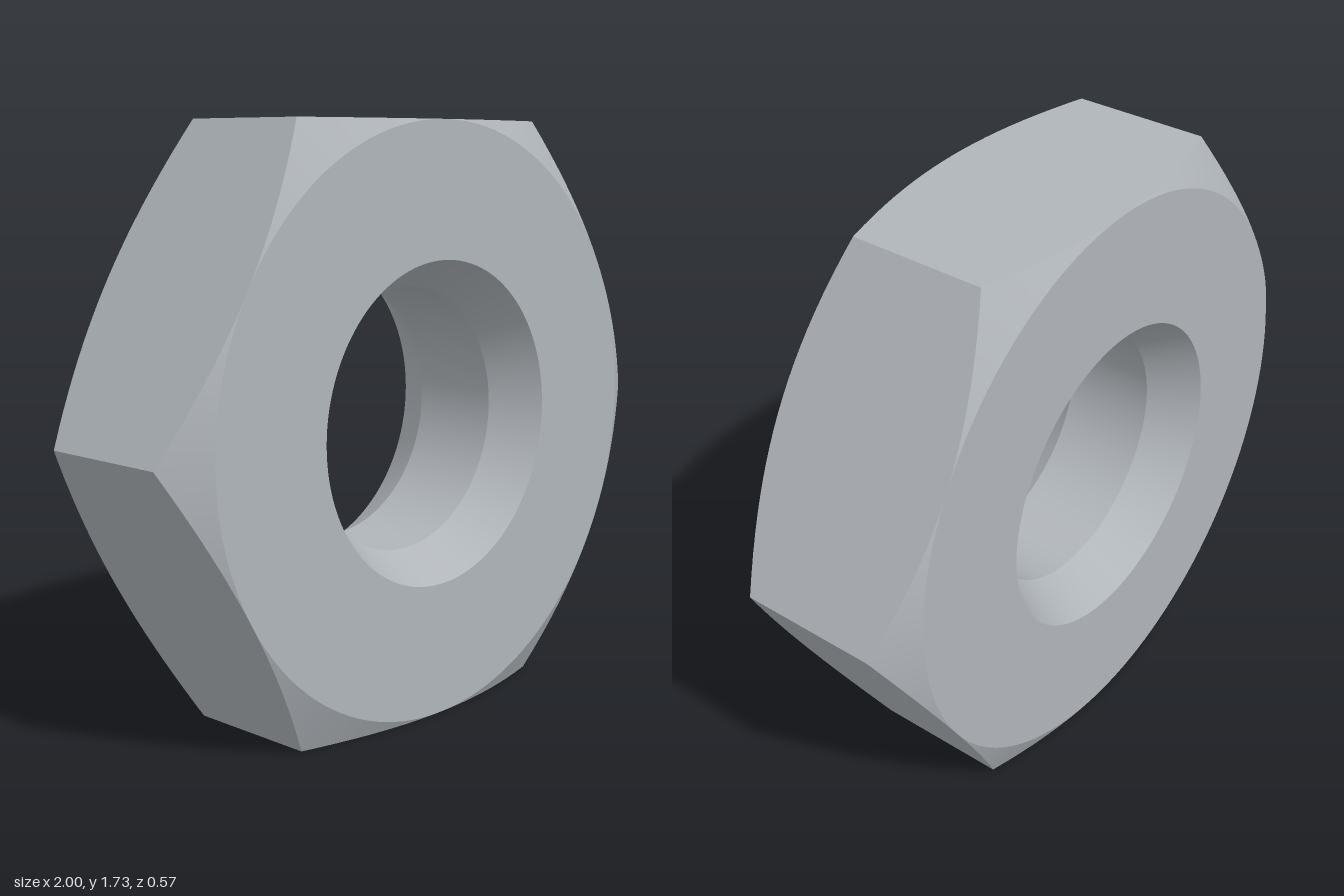
import * as THREE from 'three';

const APOTHEM = Math.sqrt(3) / 2; // centre to flat, corners lie at radius 1
const HALF = 0.283;               // half thickness
const BORE = 0.39, MOUTH = 0.473; // hole radius and countersunk rim radius
const SINK = 0.144;               // countersink depth
const TILT = Math.PI / 6;         // corner chamfer angle
const STEPS = 20;                 // segments along each flat

// Radius of the hexagon at an angle, with corners at multiples of 60 degrees
const hexRadius = (a) => {
  const s = Math.PI / 3;
  return APOTHEM / Math.cos(a - (Math.floor(a / s) + 0.5) * s);
};
const edgeZ = (r) => HALF - (r - APOTHEM) * Math.tan(TILT);

// Sweeps the line between two [radius, z] profile points around the axis.
// normal is [radial, z]; flat surfaces keep one radial direction per side.
function sweep(name, material, from, to, normal, flat = false) {
  const pos = [], nor = [], idx = [];
  for (let side = 0; side < 6; side++) {
    const start = pos.length / 3;
    for (let i = 0; i <= STEPS; i++) {
      const local = (i / STEPS) * Math.PI / 3;
      const a = side * Math.PI / 3 + local;
      const r = APOTHEM / Math.cos(local - Math.PI / 6);
      const n = flat ? (side + 0.5) * Math.PI / 3 : a;
      for (const [radius, z] of [from(r), to(r)]) {
        pos.push(radius * Math.cos(a), radius * Math.sin(a), z);
        nor.push(normal[0] * Math.cos(n), normal[0] * Math.sin(n), normal[1]);
      }
      if (i < STEPS) {
        const k = start + i * 2;
        idx.push(k, k + 1, k + 2, k + 1, k + 3, k + 2);
      }
    }
  }
  const g = new THREE.BufferGeometry();
  g.setAttribute('position', new THREE.Float32BufferAttribute(pos, 3));
  g.setAttribute('normal', new THREE.Float32BufferAttribute(nor, 3));
  g.setIndex(idx);
  const mesh = new THREE.Mesh(g, material);
  mesh.name = name;
  return mesh;
}

export function createModel() {
  const steel = new THREE.MeshStandardMaterial({ color: 0xb0b5ba });
  steel.name = 'steel';

  // Closed cross-section: front face, outside, back face, then through the hole
  const frontMouth = () => [MOUTH, HALF];
  const frontRim = () => [APOTHEM, HALF];
  const frontEdge = (r) => [r, edgeZ(r)];
  const backEdge = (r) => [r, -edgeZ(r)];
  const backRim = () => [APOTHEM, -HALF];
  const backMouth = () => [MOUTH, -HALF];
  const backBore = () => [BORE, SINK - HALF];
  const frontBore = () => [BORE, HALF - SINK];

  const sinkLength = Math.hypot(SINK, MOUTH - BORE);
  const nr = -SINK / sinkLength, nz = (MOUTH - BORE) / sinkLength;
  const cr = Math.sin(TILT), cz = Math.cos(TILT);

  const nut = new THREE.Group();
  nut.name = 'hexNut';
  nut.add(
    sweep('frontFace', steel, frontMouth, frontRim, [0, 1]),
    sweep('frontCornerChamfer', steel, frontRim, frontEdge, [cr, cz]),
    sweep('hexSides', steel, frontEdge, backEdge, [1, 0], true),
    sweep('backCornerChamfer', steel, backEdge, backRim, [cr, -cz]),
    sweep('backFace', steel, backRim, backMouth, [0, -1]),
    sweep('backCountersink', steel, backMouth, backBore, [nr, -nz]),
    sweep('bore', steel, backBore, frontBore, [-1, 0]),
    sweep('frontCountersink', steel, frontBore, frontMouth, [nr, nz]),
  );
  nut.position.y = APOTHEM; // stands on its lower flat

  const model = new THREE.Group();
  model.name = 'model';
  model.add(nut);
  return model;
}
